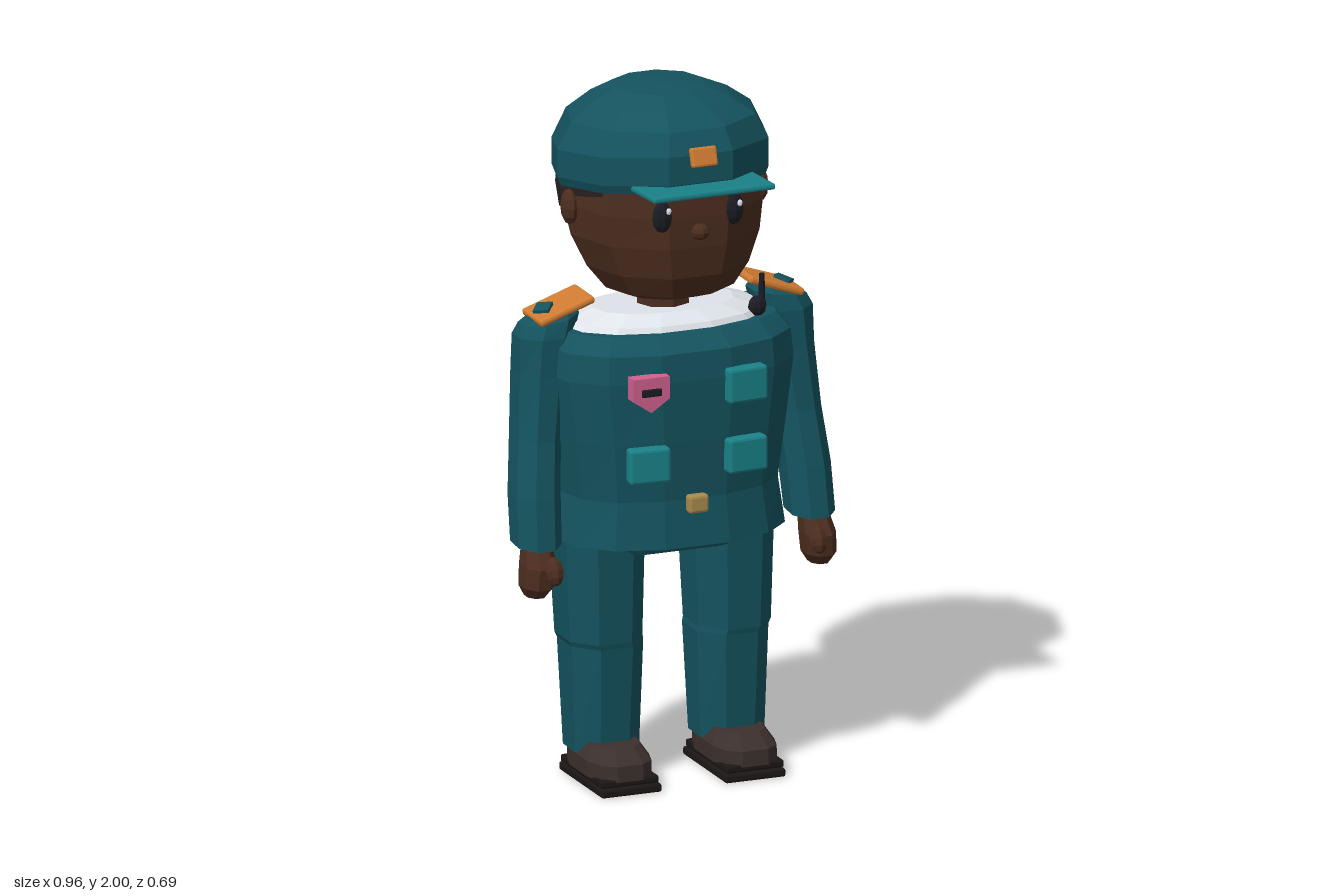
import * as THREE from 'three';
import { RoundedBoxGeometry } from 'three/addons/geometries/RoundedBoxGeometry.js';

const mat = (color) => new THREE.MeshStandardMaterial({ color, flatShading: true, side: THREE.DoubleSide });

// Closed low-poly body through rings, listed bottom to top.
// ring: [x, y, z, rx, rz, slope along z, slope along x]; power 2 = ellipse, higher = boxier
function loft(rings, n, power = 2) {
  const pos = [], idx = [];
  const curve = (v) => Math.sign(v) * Math.pow(Math.abs(v), 2 / power);
  for (const [x, y, z, rx, rz, sz = 0, sx = 0] of rings) {
    for (let j = 0; j < n; j++) {
      const a = ((j + 0.5) / n) * Math.PI * 2;
      const dx = curve(Math.sin(a)) * rx, dz = curve(Math.cos(a)) * rz;
      pos.push(x + dx, y + dz * sz + dx * sx, z + dz);
    }
  }
  const last = (rings.length - 1) * n;
  for (let j = 0; j < n; j++) {
    const k = (j + 1) % n;
    for (let i = 0; i < last; i += n) idx.push(i + j, i + k, i + n + k, i + j, i + n + k, i + n + j);
  }
  const c = rings.length * n;
  for (const r of [rings[0], rings[rings.length - 1]]) pos.push(r[0], r[1], r[2]);
  for (let j = 0; j < n; j++) {
    const k = (j + 1) % n;
    idx.push(c, k, j, c + 1, last + j, last + k);
  }
  const g = new THREE.BufferGeometry();
  g.setAttribute('position', new THREE.Float32BufferAttribute(pos, 3));
  g.setIndex(idx);
  g.computeVertexNormals();
  return g;
}

export function createModel() {
  const model = new THREE.Group();
  const cloth = mat(0x14535f), teal = mat(0x1a8288), skin = mat(0x4c2d1f), orange = mat(0xd07c32);
  const hairMat = mat(0x2b2222), white = mat(0xdfe4ea), shoe = mat(0x3b302d), sole = mat(0x1c1717);
  const black = mat(0x1b1c24), pink = mat(0xd0608f), gold = mat(0xa88a4c), lip = mat(0x7a3a3a);

  const add = (name, geo, material, p = [0, 0, 0], r = [0, 0, 0], parent = model) => {
    const m = new THREE.Mesh(geo, material);
    m.name = name;
    m.position.set(...p);
    m.rotation.set(...r);
    parent.add(m);
    return m;
  };
  const box = (w, h, d, r = 0.008) => new RoundedBoxGeometry(w, h, d, 1, r);
  const ball = (x, y, z) => new THREE.SphereGeometry(1, 8, 6).scale(x, y, z);

  // Head and neck
  add('head', loft([
    [0, 1.41, 0.0, 0.13, 0.12], [0, 1.435, 0.01, 0.19, 0.18], [0, 1.5, -0.01, 0.24, 0.235],
    [0, 1.59, -0.03, 0.28, 0.27], [0, 1.68, -0.035, 0.292, 0.28], [0, 1.78, -0.04, 0.285, 0.28],
  ], 10), skin);
  add('neck', new THREE.CylinderGeometry(0.075, 0.08, 0.14, 8), skin, [0, 1.39, -0.03]);
  add('hair', loft([
    [0, 1.665, -0.055, 0.292, 0.275, 0.3], [0, 1.72, -0.06, 0.302, 0.283, 0.2], [0, 1.77, -0.06, 0.298, 0.28, 0.1],
  ], 10), hairMat);
  add('nose', ball(0.028, 0.024, 0.025), skin, [0, 1.64, 0.24]);
  add('mouth', box(0.07, 0.014, 0.02, 0.004), lip, [0, 1.55, 0.21]);

  // Cap with peak and front plate
  add('cap', loft([
    [0, 1.73, -0.05, 0.302, 0.302, 0.1], [0, 1.755, -0.05, 0.312, 0.312, 0.1], [0, 1.835, -0.05, 0.312, 0.312, 0.11],
    [0, 1.915, -0.045, 0.272, 0.275, 0.06], [0, 1.965, -0.05, 0.2, 0.2, 0.03], [0, 1.993, -0.055, 0.13, 0.13, 0.01],
    [0, 2.0, -0.055, 0.03, 0.03],
  ], 10), cloth);
  add('capPeak', box(0.37, 0.018, 0.24, 0.006), teal, [0, 1.772, 0.225], [-0.06, 0, 0]);
  add('capPlate', box(0.078, 0.056, 0.022, 0.006), orange, [0, 1.865, 0.262], [-0.3, 0, 0]);

  // Jacket, shirt and hips
  add('jacket', loft([
    [0, 0.715, -0.028, 0.345, 0.255], [0, 0.85, -0.025, 0.325, 0.232], [0, 1.02, -0.012, 0.345, 0.232],
    [0, 1.2, -0.02, 0.372, 0.244], [0, 1.28, -0.025, 0.365, 0.242], [0, 1.325, -0.032, 0.33, 0.2],
  ], 14, 2.4), cloth);
  add('shirt', loft([
    [0, 1.31, -0.032, 0.32, 0.19], [0, 1.34, -0.035, 0.29, 0.175], [0, 1.365, -0.035, 0.21, 0.125],
  ], 14, 2.2), white);
  add('hips', loft([[0, 0.67, -0.045, 0.27, 0.155], [0, 0.76, -0.04, 0.3, 0.19]], 12, 3), cloth);

  // Pockets, buckle and breast badge
  for (const [x, y] of [[0.145, 1.175], [0.145, 0.97], [-0.15, 0.97]]) {
    add('pocket', box(0.12, 0.1, 0.045), teal, [x, y, 0.222], [0, Math.sign(x) * 0.08, 0]);
  }
  add('buckle', box(0.06, 0.052, 0.035), gold, [0, 0.84, 0.218]);
  const shield = new THREE.Shape([[-0.055, 0.05], [0.055, 0.05], [0.055, -0.015], [0, -0.052], [-0.055, -0.015]]
    .map(([x, y]) => new THREE.Vector2(x, y)));
  add('badge', new THREE.ExtrudeGeometry(shield, { depth: 0.04, bevelEnabled: false }), pink, [-0.15, 1.18, 0.205]);
  add('badgeBar', box(0.06, 0.022, 0.01, 0.003), black, [-0.15, 1.187, 0.246]);

  // Shoulder radio
  add('radio', ball(0.028, 0.03, 0.022), black, [0.24, 1.35, 0.08]);
  add('radioAntenna', new THREE.CylinderGeometry(0.008, 0.01, 0.11, 6), black, [0.258, 1.385, 0.07]);

  for (const s of [1, -1]) {
    const side = new THREE.Group();
    side.name = s > 0 ? 'leftSide' : 'rightSide';
    model.add(side);
    const put = (name, geo, m, p, r) => add(name, geo, m, p, r, side);

    // Face
    put('eye', ball(0.031, 0.046, 0.022), black, [s * 0.108, 1.69, 0.222]);
    put('eyeGlint', ball(0.008, 0.01, 0.006), white, [s * 0.108 + 0.012, 1.71, 0.241]);
    put('ear', ball(0.025, 0.052, 0.036), skin, [s * 0.288, 1.675, -0.02]);

    // Sleeve, hand and thumb
    put('sleeve', loft([
      [s * 0.415, 0.725, 0.04, 0.07, 0.085, -0.1], [s * 0.41, 0.86, 0.015, 0.072, 0.088],
      [s * 0.395, 1.02, -0.015, 0.07, 0.088], [s * 0.375, 1.2, -0.035, 0.078, 0.088],
      [s * 0.362, 1.31, -0.035, 0.088, 0.085], [s * 0.345, 1.355, -0.035, 0.088, 0.072, 0, s * -0.15],
      [s * 0.33, 1.383, -0.035, 0.055, 0.045, 0, s * -0.2],
    ], 8), cloth);
    put('hand', loft([
      [s * 0.43, 0.58, 0.07, 0.03, 0.04], [s * 0.428, 0.61, 0.075, 0.048, 0.065],
      [s * 0.424, 0.67, 0.075, 0.05, 0.07], [s * 0.418, 0.74, 0.05, 0.04, 0.05],
    ], 8), skin);
    put('thumb', ball(0.026, 0.042, 0.028), skin, [s * 0.4, 0.665, 0.14], [-0.4, 0, 0]);

    // Shoulder board with diamond
    const board = new THREE.Group();
    board.name = 'shoulderBoard';
    board.position.set(s * 0.318, 1.386, -0.027);
    board.rotation.z = s * -0.33;
    side.add(board);
    add('boardPlate', box(0.175, 0.022, 0.138), orange, [0, 0, 0], [0, 0, 0], board);
    const diamond = new THREE.CylinderGeometry(0.04, 0.04, 0.012, 4).scale(0.8, 1, 1);
    add('boardDiamond', diamond, cloth, [s * 0.045, 0.014, 0], [0, 0, 0], board);

    // Trouser leg
    put('leg', loft([
      [s * 0.19, 0.09, -0.025, 0.104, 0.108], [s * 0.19, 0.4, -0.032, 0.116, 0.132],
      [s * 0.195, 0.415, -0.032, 0.118, 0.135], [s * 0.196, 0.73, -0.045, 0.13, 0.155],
    ], 8, 2.2), cloth);

    // Shoe on a two-layer sole
    put('shoe', loft([
      [s * 0.19, 0.04, 0.035, 0.096, 0.158], [s * 0.19, 0.085, 0.035, 0.096, 0.155], [s * 0.19, 0.125, 0.02, 0.072, 0.122],
    ], 12, 3), shoe);
    put('upperSole', box(0.175, 0.022, 0.3, 0.006), sole, [s * 0.19, 0.036, 0.037]);
    put('sole', box(0.182, 0.024, 0.315, 0.006), sole, [s * 0.188, 0.012, 0.038]);
  }
  return model;
}
